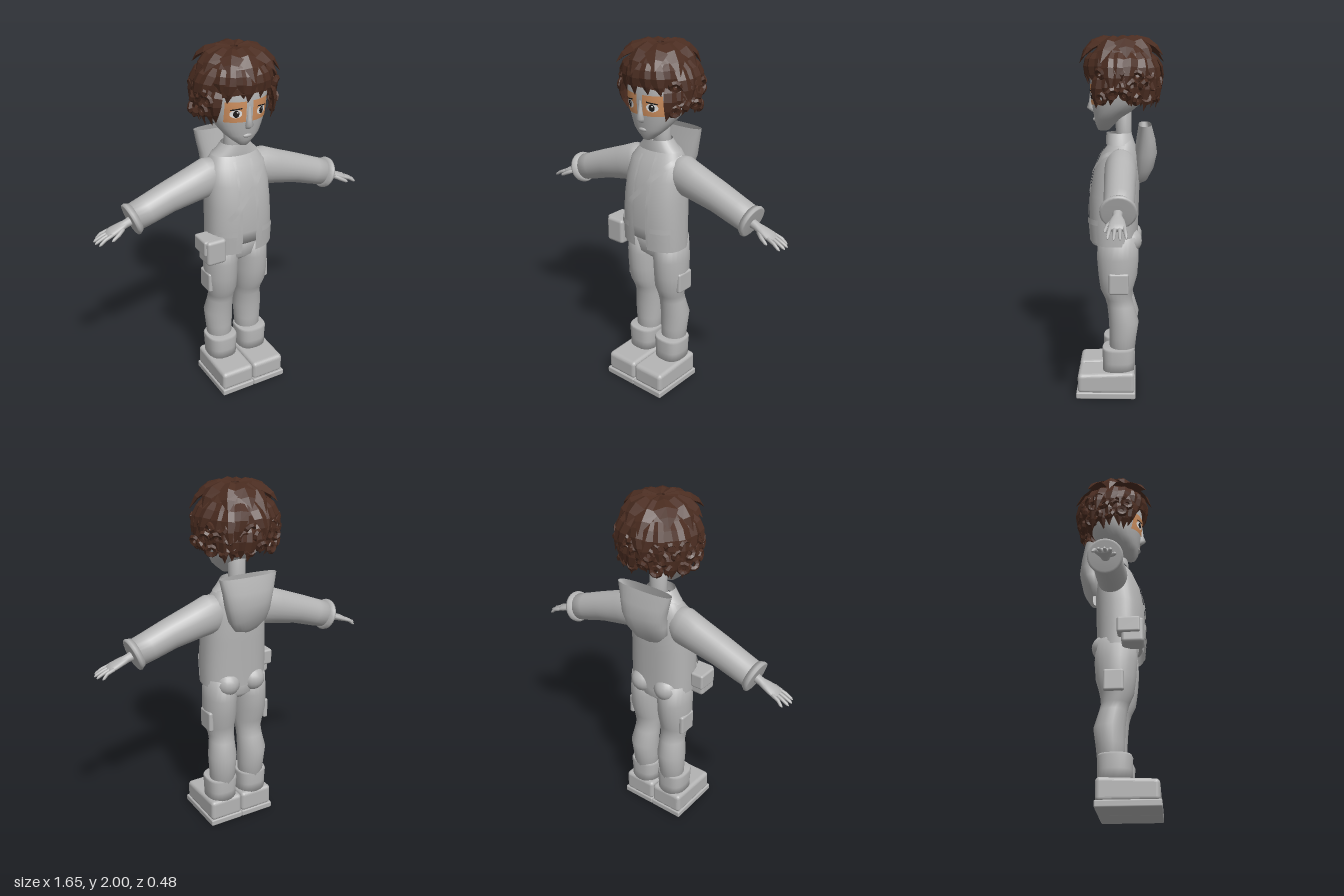
import * as THREE from 'three';
import { mergeGeometries } from 'three/addons/utils/BufferGeometryUtils.js';
import { RoundedBoxGeometry } from 'three/addons/geometries/RoundedBoxGeometry.js';

const V = (x, y, z) => new THREE.Vector3(x, y, z);
const bend = (a, e) => Math.sign(a) * Math.abs(a) ** e;

// Skin of rounded rings along a path of [x, y, z, radius along ref, radius across]
function sweep(path, { n = 20, e = 1, gap = 0, cap = true, ref = V(0, 0, 1) } = {}) {
  const pos = [], idx = [], cols = gap ? n + 1 : n, last = path.length - 1;
  const c = path.map(p => V(p[0], p[1], p[2]));
  path.forEach((p, r) => {
    const d = c[Math.min(r + 1, last)].clone().sub(c[Math.max(r - 1, 0)]);
    const side = d.cross(ref).normalize();
    for (let i = 0; i < cols; i++) {
      const t = gap + (i / n) * (Math.PI * 2 - gap * 2);
      const q = c[r].clone().addScaledVector(ref, p[3] * bend(Math.cos(t), e)).addScaledVector(side, p[4] * bend(Math.sin(t), e));
      pos.push(q.x, q.y, q.z);
    }
  });
  for (let r = 0; r < last; r++) for (let i = 0; i < n; i++) {
    const j = (i + 1) % cols, a = r * cols, b = a + cols;
    idx.push(a + i, a + j, b + j, a + i, b + j, b + i);
  }
  if (cap && !gap) [0, last].forEach(r => {
    const m = pos.length / 3;
    pos.push(c[r].x, c[r].y, c[r].z);
    for (let i = 0; i < n; i++) {
      const a = r * n + i, b = r * n + (i + 1) % n;
      idx.push(m, r ? a : b, r ? b : a);
    }
  });
  const g = new THREE.BufferGeometry();
  g.setAttribute('position', new THREE.Float32BufferAttribute(pos, 3));
  g.setIndex(idx);
  g.computeVertexNormals();
  return g;
}

// Lays a flat xy geometry on the front of an upright swept body
function decal(g, rings, e, off) {
  const p = g.attributes.position;
  for (let i = 0; i < p.count; i++) {
    const x = p.getX(i), y = p.getY(i);
    let k = 0;
    while (k < rings.length - 2 && rings[k + 1][1] < y) k++;
    const a = rings[k], b = rings[k + 1];
    const f = THREE.MathUtils.clamp((y - a[1]) / (b[1] - a[1]), 0, 1);
    const [cz, rz, rx] = [2, 3, 4].map(m => a[m] + (b[m] - a[m]) * f);
    const u = Math.min(1, Math.abs(x / rx));
    p.setZ(i, cz + rz * (1 - u ** (2 / e)) ** (e / 2) + off);
  }
  g.computeVertexNormals();
  return g;
}

export function createModel() {
  const model = new THREE.Group();
  const mat = (name, color, side = THREE.FrontSide) => Object.assign(new THREE.MeshStandardMaterial({ color, side }), { name });
  const grey = mat('plain grey', 0xb4b4b4, THREE.DoubleSide);
  const brown = mat('hair brown', 0x4a2c20, THREE.DoubleSide);
  const tan = mat('eye skin', 0xd0905f);
  const white = mat('eye white', 0xe8e8e8);
  const dark = mat('eye dark', 0x1c1a1a);
  const add = (name, g, m = grey) => {
    const mesh = new THREE.Mesh(g, m);
    mesh.name = name;
    model.add(mesh);
    return mesh;
  };

  // Head, from [y, half width, front z, back z]
  const head = [[1.498, .025, .12, .065], [1.53, .065, .135, .03], [1.56, .098, .142, 0], [1.6, .125, .148, -.06],
    [1.65, .15, .156, -.12], [1.72, .165, .162, -.15], [1.8, .17, .163, -.16], [1.88, .15, .14, -.14], [1.93, .09, .08, -.09]]
    .map(([y, w, f, b]) => [0, y, (f + b) / 2, (f - b) / 2, w]);
  add('head', sweep(head, { n: 32, e: .92 }));
  add('nose', sweep([[0, 1.598, .147, .008, .014], [0, 1.62, .158, .026, .021], [0, 1.655, .155, .016, .014], [0, 1.72, .156, .008, .01]], { n: 12 }));
  add('lips', new THREE.SphereGeometry(1, 12, 8).scale(.026, .011, .01).translate(0, 1.558, .14));
  add('neck', sweep([[0, 1.4, -.02, .052, .058], [0, 1.5, -.018, .043, .048], [0, 1.64, -.015, .046, .05]]));

  // Eyes
  for (const s of [-1, 1]) {
    const on = (name, g, x, y, m, off) => add(name, decal(g.translate(x, y, 0), head, .92, off), m);
    on('eyePatch', new THREE.PlaneGeometry(.104, .11, 10, 8), s * .071, 1.695, tan, .003);
    on('eyeWhite', new THREE.CircleGeometry(.03, 20).scale(1, .75, 1), s * .073, 1.688, white, .005);
    on('iris', new THREE.CircleGeometry(.015, 16).scale(1, 1.3, 1), s * .073, 1.688, dark, .007);
    on('eyeGlint', new THREE.CircleGeometry(.005, 10), s * .073 + .005, 1.697, white, .009);
    on('upperLash', new THREE.PlaneGeometry(.058, .007, 8, 1).rotateZ(s * -.15), s * .074, 1.713, dark, .007);
  }

  // Hair: cap with a higher hairline in front, pointed locks and curls
  let seed = 7;
  const rnd = (k = 1) => ((seed = (seed * 16807) % 2147483647) / 2147483647 - .5) * 2 * k;
  const hair = [];
  const capG = new THREE.SphereGeometry(1, 22, 9, 0, Math.PI * 2, 0, 1);
  const cp = capG.attributes.position;
  for (let i = 0; i < cp.count; i++) {
    const phi = Math.atan2(cp.getX(i), cp.getZ(i));
    const th = Math.acos(Math.min(1, cp.getY(i))) * (1.98 - .36 * Math.cos(phi));
    cp.setXYZ(i, .195 * Math.sin(th) * Math.sin(phi), 1.805 + .18 * Math.cos(th), .19 * Math.sin(th) * Math.cos(phi));
  }
  hair.push(capG);
  function lock(phi, [r0, y0], [r1, y1], [r2, y2], w, twist = 0) {
    const at = (r, y, a) => V(Math.sin(a) * r, y, Math.cos(a) * r);
    const curve = new THREE.QuadraticBezierCurve3(at(r0, y0, phi), at(r1, y1, phi), at(r2, y2, phi + twist));
    const widths = [.55, 1, .95, .6, .03];
    hair.push(sweep(widths.map((k, i) => [...curve.getPoint(i / 4).toArray(), w * k, w * k * .35]),
      { n: 4, ref: V(Math.cos(phi), 0, -Math.sin(phi)) }));
  }
  for (let i = 0; i < 11; i++) // crown
    lock(i / 11 * 6.283 + rnd(.08), [.02, 1.98], [.17, 1.995 + rnd(.015)], [.228 + rnd(.015), 1.875 + rnd(.03)], .064, rnd(.12));
  for (let i = 0; i < 20; i++) { // middle row and fringe
    const phi = i / 20 * 6.283 + rnd(.08);
    const front = Math.cos(phi) > .55;
    lock(phi, [.16, 1.91], [front ? .21 : .24, 1.85], [(front ? .178 : .225) + rnd(.01), (front ? 1.755 : 1.73) + rnd(.02)], .042, rnd(.2));
  }
  for (let i = 0; i < 20; i++) { // lower row round sides and back
    const phi = 1.0 + i / 19 * 4.283;
    lock(phi, [.18, 1.81], [.235, 1.74], [.185 + rnd(.015), 1.625 + rnd(.025)], .042, rnd(.15));
  }
  for (let row = 0; row < 3; row++) for (let i = 0; i < 13; i++) { // curls
    const phi = 1.05 + (i + (row % 2) * .5) / 13 * 4.25;
    const r = .212 + rnd(.012);
    hair.push(new THREE.TorusGeometry(.024, .014, 5, 9).rotateX(rnd(.6)).rotateY(phi + rnd(.7))
      .translate(Math.sin(phi) * r, 1.69 + row * .055 + rnd(.015), Math.cos(phi) * r * .95));
  }
  add('hair', mergeGeometries(hair.map(g => {
    const f = g.toNonIndexed();
    f.deleteAttribute('uv');
    f.computeVertexNormals();
    return f;
  })), brown);

  // Torso: shirt, open jacket, collar
  const torso = [[0, .88, .033, .13, .19], [0, 1, .036, .136, .19], [0, 1.15, .032, .137, .185], [0, 1.28, .018, .127, .18],
    [0, 1.37, .004, .103, .168], [0, 1.43, -.008, .07, .125], [0, 1.455, -.012, .055, .08]];
  const E = .82;
  add('jacket', sweep(torso, { n: 40, e: E, gap: .17, cap: false }));
  add('shirt', sweep(torso.map(([x, y, z, a, b], i) => [x, i ? y : .93, z, a - .01, b - .01]), { n: 32, e: E }));
  add('collar', sweep([[0, 1.425, 0, .08, .135], [0, 1.45, .004, .076, .108], [0, 1.485, .008, .068, .078]], { n: 28, cap: false }));
  add('strap', decal(new THREE.PlaneGeometry(.42, .028, 24, 2).rotateZ(.835).translate(.022, 1.25, 0), torso, E, .008));
  for (const s of [-1, 1]) {
    add('jacketPocket', decal(new THREE.PlaneGeometry(.09, .11, 8, 3).translate(s * .125, .95, 0), torso, E, .008));
    add('pocketFlap', decal(new THREE.PlaneGeometry(.098, .03, 8, 1).translate(s * .125, 1.01, 0), torso, E, .012));
    add('jacketEdge', decal(new THREE.PlaneGeometry(.014, .5, 1, 16).translate(s * .05, 1.15, 0), torso, E, .006));
  }

  // Hood hanging behind the neck
  add('hood', sweep([[-.04, 1.215, -.11, .014, .04], [-.03, 1.25, -.115, .04, .1], [-.012, 1.31, -.13, .056, .125],
    [0, 1.38, -.14, .062, .137], [0, 1.45, -.14, .052, .152], [0, 1.53, -.135, .035, .172]], { n: 28, e: .8, cap: false }));

  // Hip pouch with flap
  add('pouch', new RoundedBoxGeometry(.115, .145, .12, 3, .018).translate(-.197, .927, .11));
  add('pouchFlap', new RoundedBoxGeometry(.08, .09, .125, 3, .012).translate(-.226, .955, .09));

  // Hips
  add('hips', sweep([[0, .79, .01, .06, .06], [0, .83, .012, .105, .14], [0, .95, .02, .118, .178]], { n: 28 }));

  for (const s of [-1, 1]) {
    const limb = (name, path, o) => add(name, sweep(path.map(([x, ...r]) => [x * s, ...r]), o));
    // Leg, boot cuff and shoe
    limb('leg', [[.095, .2, -.01, .068, .07], [.096, .34, -.017, .076, .079], [.098, .43, -.022, .084, .084], [.092, .52, -.004, .075, .075],
      [.091, .565, .008, .076, .076], [.094, .62, .018, .091, .088], [.097, .7, .012, .108, .095], [.096, .8, .012, .116, .095], [.093, .92, .012, .11, .09]], { n: 24 });
    add('buttock', new THREE.SphereGeometry(.072, 18, 12).translate(s * .08, .895, -.05));
    add('thighPocket', new RoundedBoxGeometry(.03, .12, .11, 3, .012).translate(s * .18, .67, .005));
    limb('bootCuff', [[.1, .13, .008, .09, .086], [.1, .2, .008, .09, .087], [.1, .27, .008, .093, .092], [.1, .282, .008, .087, .086]], { n: 24, e: .75 });
    const shoe = new RoundedBoxGeometry(.2, .125, .322, 4, .022).translate(s * .101, .0925, .076);
    const sp = shoe.attributes.position;
    for (let i = 0; i < sp.count; i++) if (sp.getY(i) > .1) sp.setY(i, sp.getY(i) - .09 * Math.max(0, sp.getZ(i) - .08));
    shoe.computeVertexNormals();
    add('shoe', shoe);
    add('sole', new RoundedBoxGeometry(.207, .038, .335, 2, .008).translate(s * .1035, .019, .078));
    // Sleeve with flared cuff
    limb('sleeve', [[.08, 1.325, -.005, .07, .085], [.16, 1.305, -.005, .086, .11], [.25, 1.28, -.005, .085, .099], [.4, 1.238, -.005, .08, .085],
      [.52, 1.195, -.005, .077, .08], [.61, 1.165, -.005, .073, .076]], { n: 24 });
    limb('sleeveCuff', [[.585, 1.172, -.003, .077, .08], [.606, 1.165, -.003, .092, .09], [.617, 1.161, -.003, .091, .088], [.62, 1.16, -.003, .08, .078]], { n: 24 });
    // Hand
    limb('palm', [[.58, 1.17, 0, .028, .028], [.645, 1.147, 0, .023, .022], [.68, 1.136, 0, .036, .02], [.725, 1.12, 0, .044, .018], [.75, 1.108, 0, .038, .012]], { n: 14 });
    for (let f = 0; f < 4; f++) {
      const z = -.034 + f * .022, reach = [.8, .82, .822, .81][f];
      limb('finger', [[.73, 1.118, z, .01, .01], [.77, 1.104, z * 1.15, .0095, .0095], [reach - .01, 1.085, z * 1.3, .008, .008], [reach, 1.078, z * 1.32, .003, .003]], { n: 8 });
    }
    limb('thumb', [[.665, 1.135, .018, .015, .013], [.7, 1.118, .045, .011, .011], [.735, 1.1, .056, .008, .009], [.745, 1.095, .057, .003, .003]], { n: 8 });
  }
  return model;
}
